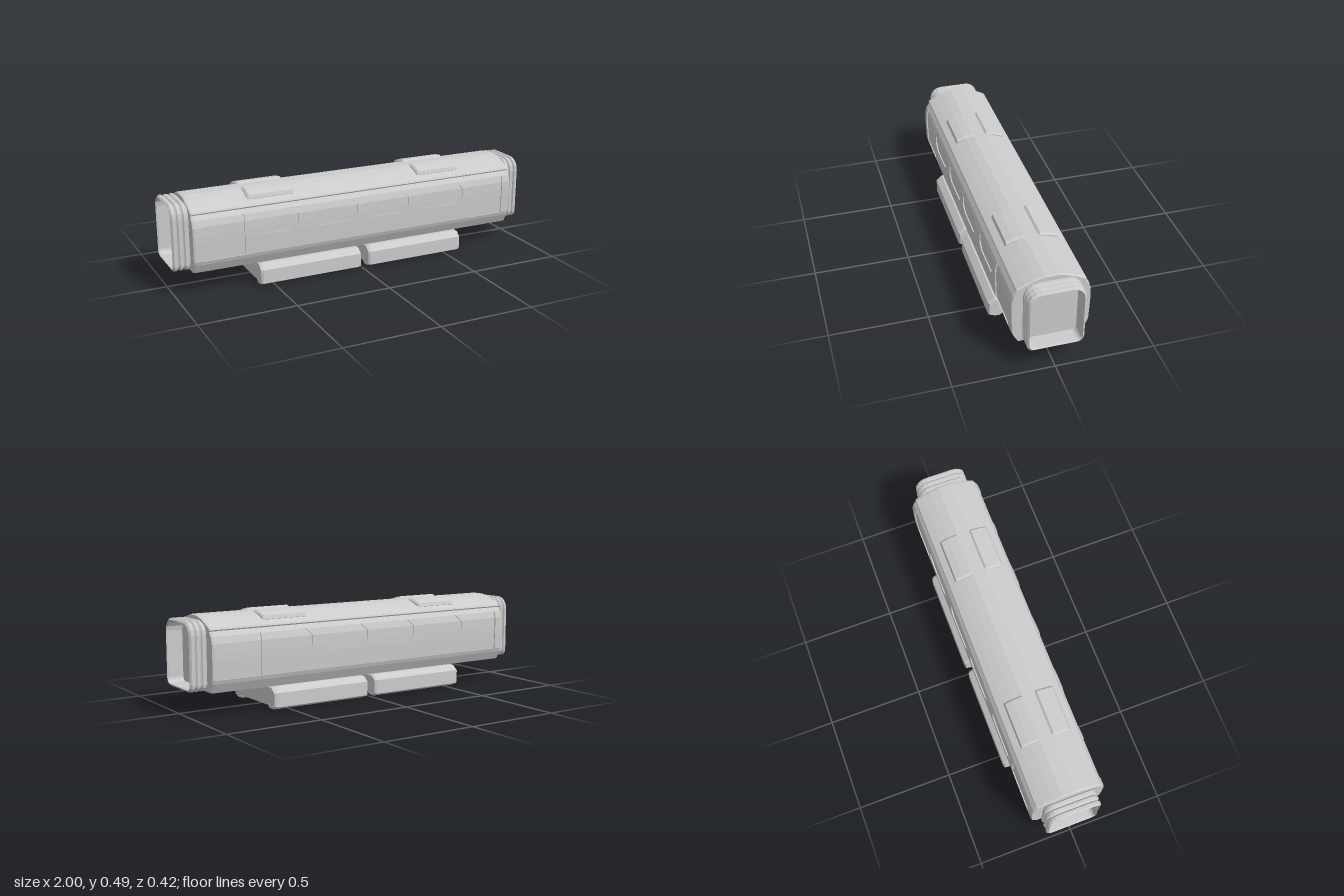
import * as THREE from 'three';

const material = new THREE.MeshStandardMaterial({ color: 0xcccccc, flatShading: true, side: THREE.DoubleSide });

// Collects flat quads and triangles given as [x, y, z] corners
class Faces {
  constructor() { this.data = []; }
  tri(a, b, c) { this.data.push(...a, ...b, ...c); }
  quad(a, b, c, d) { this.tri(a, b, c); this.tri(a, c, d); }
  // Joins closed sections ordered along the path
  loft(sections) {
    for (let s = 0; s + 1 < sections.length; s++) {
      const a = sections[s], b = sections[s + 1];
      a.forEach((_, i) => {
        const j = (i + 1) % a.length;
        this.quad(a[i], a[j], b[j], b[i]);
      });
    }
  }
  cap(section, flip) {
    const n = section.length;
    const mid = [0, 1, 2].map(k => section.reduce((t, p) => t + p[k], 0) / n);
    section.forEach((p, i) => {
      const q = section[(i + 1) % n];
      flip ? this.tri(mid, q, p) : this.tri(mid, p, q);
    });
  }
  mesh(name) {
    const g = new THREE.BufferGeometry();
    g.setAttribute('position', new THREE.Float32BufferAttribute(this.data, 3));
    g.computeVertexNormals();
    return named(new THREE.Mesh(g, material), name);
  }
}

function named(object, name) { object.name = name; return object; }

// Half outline of the carriage as [z, y], floor to roof
const HALF = [
  [0.16, 0.115], [0.184, 0.16], [0.191, 0.18], [0.1945, 0.275], [0.195, 0.31], [0.194, 0.355],
  [0.184, 0.39], [0.167, 0.413], [0.171, 0.419], [0.167, 0.427], [0.13, 0.446], [0.08, 0.466], [0.035, 0.478],
];

// Recessed doors and windows along each side, c is the corner chamfer
const door = (x0, x1) => ({ x0, x1, y0: 0.18, y1: 0.39, c: 0 });
const pane = x0 => ({ x0, x1: x0 + 0.25, y0: 0.275, y1: 0.39, c: 0.035 });
const OPENINGS = [door(-0.86, -0.645), pane(-0.61), pane(-0.28), pane(0.02), pane(0.355), door(0.645, 0.86)];

function createBody() {
  const f = new Faces();
  const X = 0.9, DEPTH = 0.006;
  const loop = [...HALF.map(([z, y]) => [-z, y]), ...HALF.slice().reverse()];
  const at = (x, p, depth = 0) => [x, p[1], p[0] - Math.sign(p[0]) * depth];
  const inset = (o, y) => Math.max(0, o.c - (y - o.y0), o.c - (o.y1 - y));

  loop.forEach((p, i) => {
    const q = loop[(i + 1) % loop.length];
    const low = Math.min(p[1], q[1]), high = Math.max(p[1], q[1]);
    let xp = -X, xq = -X;
    for (const o of OPENINGS) {
      if (low === high || low < o.y0 - 1e-6 || high > o.y1 + 1e-6) continue;
      const ip = inset(o, p[1]), iq = inset(o, q[1]);
      const lp = o.x0 + ip, rp = o.x1 - ip, lq = o.x0 + iq, rq = o.x1 - iq;
      // wall before the opening, then the sunken panel and its reveals
      f.quad(at(xp, p), at(xq, q), at(lq, q), at(lp, p));
      f.quad(at(lp, p, DEPTH), at(lq, q, DEPTH), at(rq, q, DEPTH), at(rp, p, DEPTH));
      f.quad(at(lp, p), at(lq, q), at(lq, q, DEPTH), at(lp, p, DEPTH));
      f.quad(at(rp, p, DEPTH), at(rq, q, DEPTH), at(rq, q), at(rp, p));
      const edge = y => y === o.y0 || y === o.y1;
      if (edge(p[1])) f.quad(at(lp, p), at(lp, p, DEPTH), at(rp, p, DEPTH), at(rp, p));
      if (edge(q[1])) f.quad(at(rq, q), at(rq, q, DEPTH), at(lq, q, DEPTH), at(lq, q));
      xp = rp; xq = rq;
    }
    f.quad(at(xp, p), at(xq, q), at(X, q), at(X, p));
  });

  // Chamfered end walls
  const section = (x, s) => loop.map(([z, y]) => [x, 0.297 + (y - 0.297) * s, z * s]);
  const front = [section(X, 1), section(0.91, 0.98)];
  const back = [section(-0.91, 0.98), section(-X, 1)];
  f.loft(front);
  f.loft(back);
  f.cap(front[1], false);
  f.cap(back[0], true);
  return f.mesh('carriageBody');
}

// Rounded opening outline, tighter at the bottom corners
function gangwaySection(x, inset) {
  const w = 0.14 - inset, y0 = 0.121 + inset, y1 = 0.46 - inset, pts = [];
  const corners = [[-1, y0, 0.034, -90], [-1, y1, 0.064, 0], [1, y1, 0.064, 90], [1, y0, 0.034, 180]];
  for (const [side, y, radius, start] of corners) {
    const r = radius - inset * 0.6;
    const cy = y === y0 ? y + r : y - r;
    for (let k = 0; k <= 4; k++) {
      const a = THREE.MathUtils.degToRad(start + k * 22.5);
      pts.push([x, cy + r * Math.sin(a), side * (w - r) - r * Math.cos(a)]);
    }
  }
  return pts;
}

// Ribbed bellows with a hollow passage and an end door
function createGangway() {
  const f = new Faces();
  const path = [[0.9, 0.008]];
  for (let i = 0; i < 3; i++) {
    const x = 0.914 + i * 0.029;
    path.push([x, 0.008], [x + 0.006, 0], [x + 0.019, 0], [x + 0.026, 0.007]);
  }
  path.push([1, 0.01], [0.992, 0.013], [0.915, 0.013]);
  const sections = path.map(([x, inset]) => gangwaySection(x, inset));
  f.loft(sections);
  f.cap(sections[sections.length - 1], false);
  return f.mesh('gangwayBellows');
}

// Low unit following the roof curve
function createRoofUnit(centre) {
  const f = new Faces();
  const outline = [
    [-0.035, 0.46], [-0.125, 0.43], [-0.134, 0.446], [-0.128, 0.464], [-0.09, 0.478], [-0.042, 0.487], [-0.03, 0.477],
  ];
  const sections = [[-0.125, 0.009], [-0.115, 0], [0.115, 0], [0.125, 0.009]]
    .map(([x, drop]) => outline.map(([z, y]) => [centre + x, y - drop, z]));
  f.loft(sections);
  f.cap(sections[0], true);
  f.cap(sections[3], false);
  return f.mesh('roofUnit');
}

// Undercarriage plate with skirts hooked inward at the bottom
function createSkirt(x0, x1) {
  const half = [
    [0.18, 0.115], [0.212, 0.088], [0.212, 0.016], [0.18, 0.001], [0.155, 0.001], [0.138, 0.011],
    [0.138, 0.025], [0.193, 0.025], [0.193, 0.088],
  ];
  const outline = [...half, ...half.slice().reverse().map(([z, y]) => [-z, y])];
  const shape = new THREE.Shape(outline.map(([z, y]) => new THREE.Vector2(z, y)));
  const bevel = 0.012;
  const g = new THREE.ExtrudeGeometry(shape, {
    depth: x1 - x0 - 2 * bevel, bevelEnabled: true, bevelSegments: 1,
    bevelThickness: bevel, bevelSize: 0.006, bevelOffset: -0.006,
  });
  g.rotateY(Math.PI / 2);
  g.translate(x0 + bevel, 0, 0);
  return named(new THREE.Mesh(g, material), 'undercarriageSkirt');
}

export function createModel() {
  const model = named(new THREE.Group(), 'railCarriage');
  model.add(createBody(), createSkirt(-0.572, -0.015), createSkirt(0.03, 0.587));
  // Ends and roof units repeat by a half turn
  for (const turn of [0, Math.PI]) {
    const end = named(new THREE.Group(), turn ? 'rightEnd' : 'leftEnd');
    end.add(createGangway());
    const units = named(new THREE.Group(), turn ? 'frontRoofUnits' : 'backRoofUnits');
    units.add(createRoofUnit(-0.48), createRoofUnit(0.48));
    end.rotation.y = units.rotation.y = turn;
    model.add(end, units);
  }
  return model;
}
